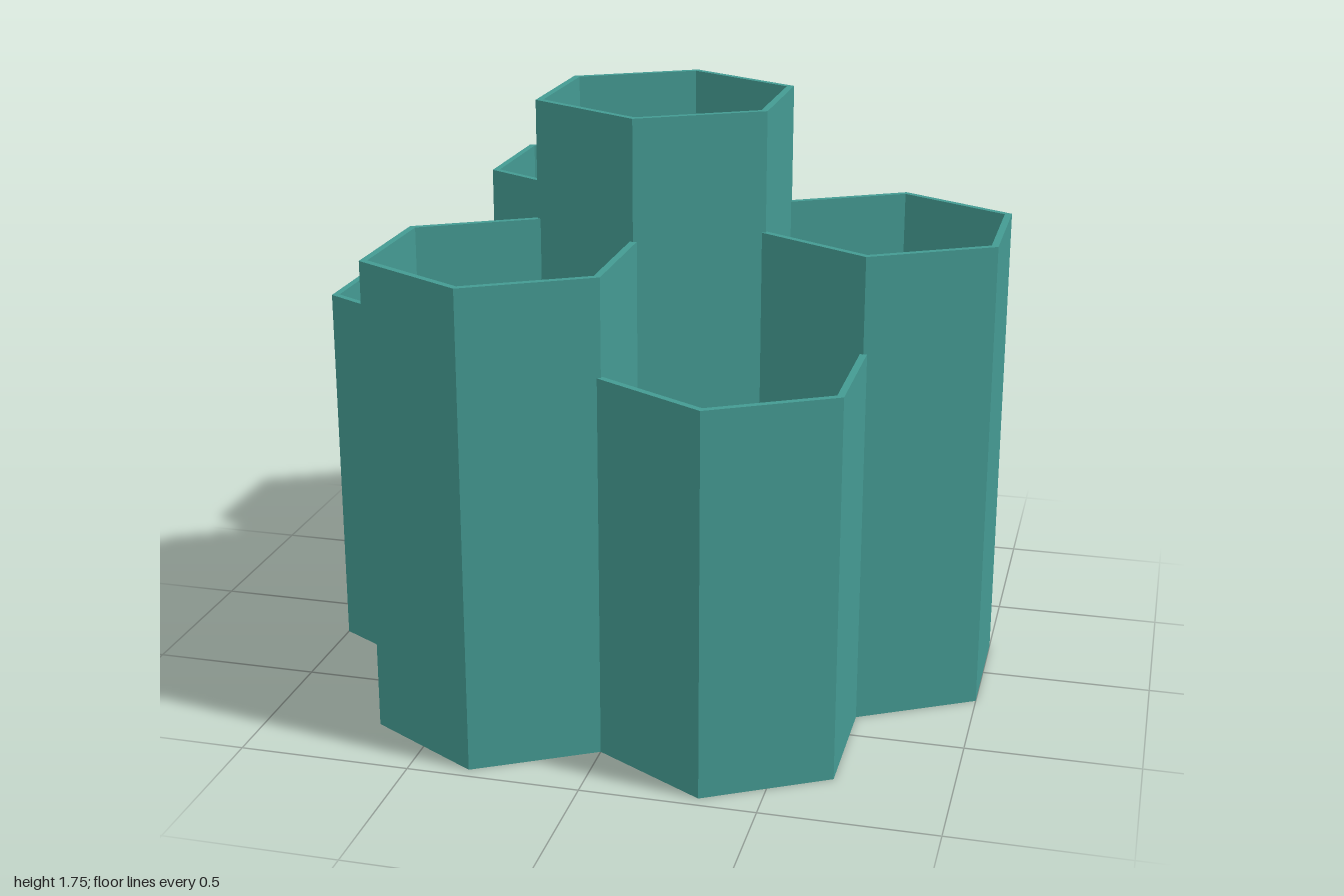
import * as THREE from 'three';
import { toCreasedNormals } from 'three/addons/utils/BufferGeometryUtils.js';

const APOTHEM = 0.34;          // centre to flat side, outside
const WALL = 0.02;
const FLOOR = 0.03;
const PITCH = 2 * APOTHEM - WALL; // neighbouring tubes share one wall

const teal = new THREE.MeshStandardMaterial({ color: 0x449a92 });
teal.name = 'teal';

// Open hexagonal cup: six-sided lathe of floor, outer wall, rim and bore
function hexTube(height) {
  const toCorner = 1 / Math.cos(Math.PI / 6);
  const outer = APOTHEM * toCorner;
  const inner = (APOTHEM - WALL) * toCorner;
  const profile = [
    [0, 0], [outer, 0], [outer, height],
    [inner, height], [inner, FLOOR], [0, FLOOR],
  ].map(([x, y]) => new THREE.Vector2(x, y));
  return toCreasedNormals(new THREE.LatheGeometry(profile, 6), 0.3);
}

export function createModel() {
  const model = new THREE.Group();
  model.name = 'hexOrganizer';

  const centre = new THREE.Mesh(hexTube(1.75), teal);
  centre.name = 'centreTube';
  model.add(centre);

  // Ring of six tubes, alternating tall and short
  const tall = hexTube(1.4);
  const short = hexTube(1.12);
  for (let i = 0; i < 6; i++) {
    const angle = i * Math.PI / 3;
    const isTall = i % 2 === 0;
    const tube = new THREE.Mesh(isTall ? tall : short, teal);
    tube.name = (isTall ? 'tallTube' : 'shortTube') + (i + 1);
    tube.position.set(PITCH * Math.cos(angle), 0, PITCH * Math.sin(angle));
    model.add(tube);
  }
  return model;
}
